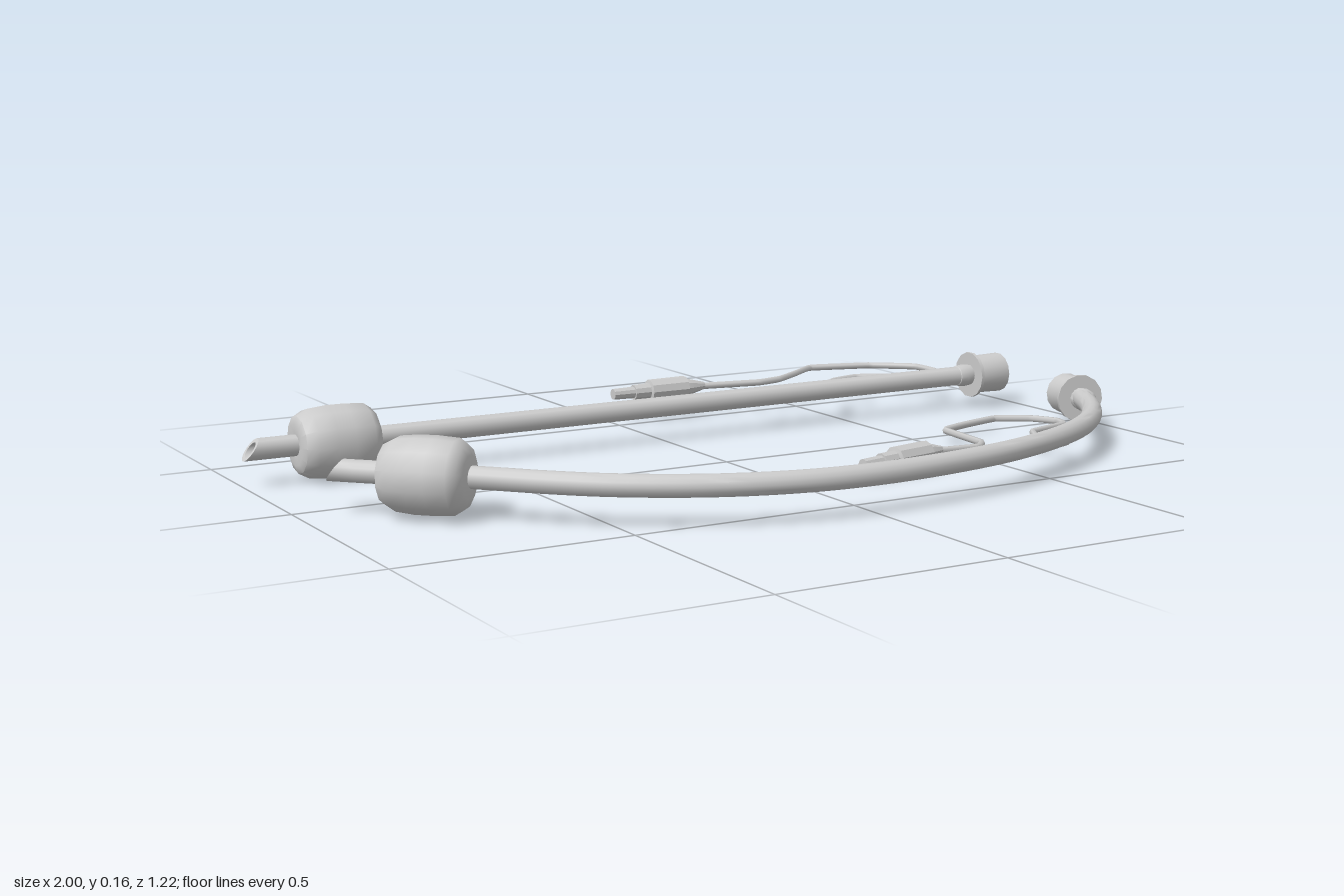
import * as THREE from 'three';
import { toCreasedNormals } from 'three/addons/utils/BufferGeometryUtils.js';

const mat = new THREE.MeshStandardMaterial({ color: 0xcccccc, side: THREE.DoubleSide });
const UP = new THREE.Vector3(0, 1, 0);
const vec = (p) => new THREE.Vector3(...p);

function mesh(name, geo) {
  const m = new THREE.Mesh(geo, mat);
  m.name = name;
  return m;
}

// Turned part whose axis starts at a point and runs along a direction
function turned(name, profile, sides, origin, dir, crease = 0.6) {
  const pts = profile.map(([r, y]) => new THREE.Vector2(r, y));
  const m = mesh(name, toCreasedNormals(new THREE.LatheGeometry(pts, sides), crease));
  m.position.copy(origin);
  m.quaternion.setFromUnitVectors(UP, dir.clone().normalize());
  return m;
}

// Hollow pipe: outer wall out, inner wall back, with a slanted opening at the start
function pipe(name, curve, steps, outer, inner) {
  const sides = 14, pos = [], idx = [], rings = [];
  for (let i = 0; i <= steps; i++) rings.push([i / steps, outer]);
  for (let i = steps; i >= 0; i--) rings.push([i / steps, inner]);
  rings.push([0, outer]);
  for (const [t, r] of rings) {
    const c = curve.getPointAt(t), tan = curve.getTangentAt(t);
    const side = new THREE.Vector3().crossVectors(tan, UP).normalize();
    const up = new THREE.Vector3().crossVectors(side, tan);
    for (let j = 0; j <= sides; j++) {
      const a = (j / sides) * Math.PI * 2;
      const p = c.clone().addScaledVector(side, r * Math.cos(a)).addScaledVector(up, r * Math.sin(a));
      if (t === 0) p.addScaledVector(tan, r * Math.sin(a) * 0.75);
      pos.push(p.x, p.y, p.z);
    }
  }
  const w = sides + 1;
  for (let i = 0; i < rings.length - 1; i++) {
    for (let j = 0; j < sides; j++) {
      const a = i * w + j, b = a + w;
      idx.push(a, a + 1, b, a + 1, b + 1, b);
    }
  }
  const geo = new THREE.BufferGeometry();
  geo.setAttribute('position', new THREE.Float32BufferAttribute(pos, 3));
  geo.setIndex(idx);
  return mesh(name, toCreasedNormals(geo, 0.7));
}

// Lathe profiles as [radius, distance along axis]
const CUFF = [[0.021, -0.088], [0.045, -0.09], [0.062, -0.084], [0.075, -0.06], [0.079, -0.02],
  [0.079, 0.02], [0.076, 0.065], [0.064, 0.082], [0.045, 0.09], [0.021, 0.092]];
const CONNECTOR = [[0.018, -0.045], [0.025, -0.04], [0.027, -0.02], [0.025, -0.002], [0.056, -0.002],
  [0.056, 0.006], [0.046, 0.006], [0.048, 0.088], [0.036, 0.088], [0.034, 0.02], [0.015, 0.01], [0.015, -0.045]];
const PILOT = [[0, 0], [0.013, 0], [0.014, 0.055], [0.018, 0.055], [0.019, 0.096], [0.027, 0.098],
  [0.028, 0.196], [0.02, 0.2], [0.018, 0.215], [0.009, 0.25], [0, 0.25]];

// One airway tube with its cuff, end connector, inflation line and pilot balloon
function airway(name, o) {
  const g = new THREE.Group();
  g.name = name;
  g.add(pipe('mainTube', o.curve, o.steps, 0.023, 0.015));
  g.add(turned('cuff', CUFF, 12, vec(o.cuff), vec(o.cuffDir), 0.75));
  g.add(turned('connector', CONNECTOR, 14, vec(o.connector), vec(o.connectorDir)));
  g.add(turned('pilotBalloon', PILOT, 10, vec(o.pilot), vec(o.pilotDir)));
  const cord = new THREE.CatmullRomCurve3(o.line.map(vec), false, 'catmullrom', 0.12);
  g.add(mesh('inflationLine', new THREE.TubeGeometry(cord, 110, 0.008, 6)));
  return g;
}

export function createModel() {
  const model = new THREE.Group();
  model.name = 'airwayTubes';

  // Straight tube at the back
  const y = 0.077, z = -0.285;
  model.add(airway('straightTube', {
    curve: new THREE.LineCurve3(vec([-0.983, y, z]), vec([0.875, y, z])), steps: 12,
    cuff: [-0.796, y, z], cuffDir: [1, 0, 0],
    connector: [0.875, y, z], connectorDir: [1, 0, 0],
    pilot: [-0.01, 0.072, -0.512], pilotDir: [1, 0, 0],
    line: [[0.23, -0.512], [0.38, -0.485], [0.45, -0.5], [0.53, -0.552], [0.61, -0.607], [0.76, -0.562],
      [0.853, -0.485], [0.855, -0.4], [0.81, -0.365], [0.755, -0.365], [0.63, -0.428], [0.54, -0.405],
      [0.49, -0.32], [0.29, -0.324], [0.22, -0.3]].map(([a, b]) => [a, 0.071, b]),
  }));

  // Curved tube at the front, sloping slightly down to its connector
  const bend = [[-0.918, 0.032], [-0.86, 0.09], [-0.78, 0.165], [-0.7, 0.24], [-0.6, 0.345], [-0.5, 0.43],
    [-0.34, 0.52], [-0.17, 0.57], [0, 0.582], [0.2, 0.562], [0.4, 0.515], [0.6, 0.43],
    [0.75, 0.325], [0.86, 0.2], [0.927, 0.082]];
  const height = (x) => 0.078 - 0.008 * x;
  model.add(airway('curvedTube', {
    curve: new THREE.CatmullRomCurve3(bend.map(([a, b]) => vec([a, height(a), b]))), steps: 48,
    cuff: [-0.78, 0.084, 0.165], cuffDir: [0.7, 0, 0.7],
    connector: [0.927, 0.068, 0.08], connectorDir: [0.28, -0.02, -0.96],
    pilot: [0.13, 0.038, 0.34], pilotDir: [0.97, -0.01, -0.22],
    line: [[0.36, 0.036, 0.289], [0.47, 0.033, 0.288], [0.515, 0.03, 0.24], [0.545, 0.026, 0.065],
      [0.63, 0.024, 0.025], [0.74, 0.024, -0.003], [0.81, 0.025, 0.045], [0.832, 0.028, 0.115],
      [0.81, 0.03, 0.165], [0.68, 0.034, 0.215], [0.635, 0.037, 0.29], [0.648, 0.042, 0.375],
      [0.52, 0.048, 0.436], [0.43, 0.054, 0.475], [0.39, 0.06, 0.505]],
  }));
  return model;
}
